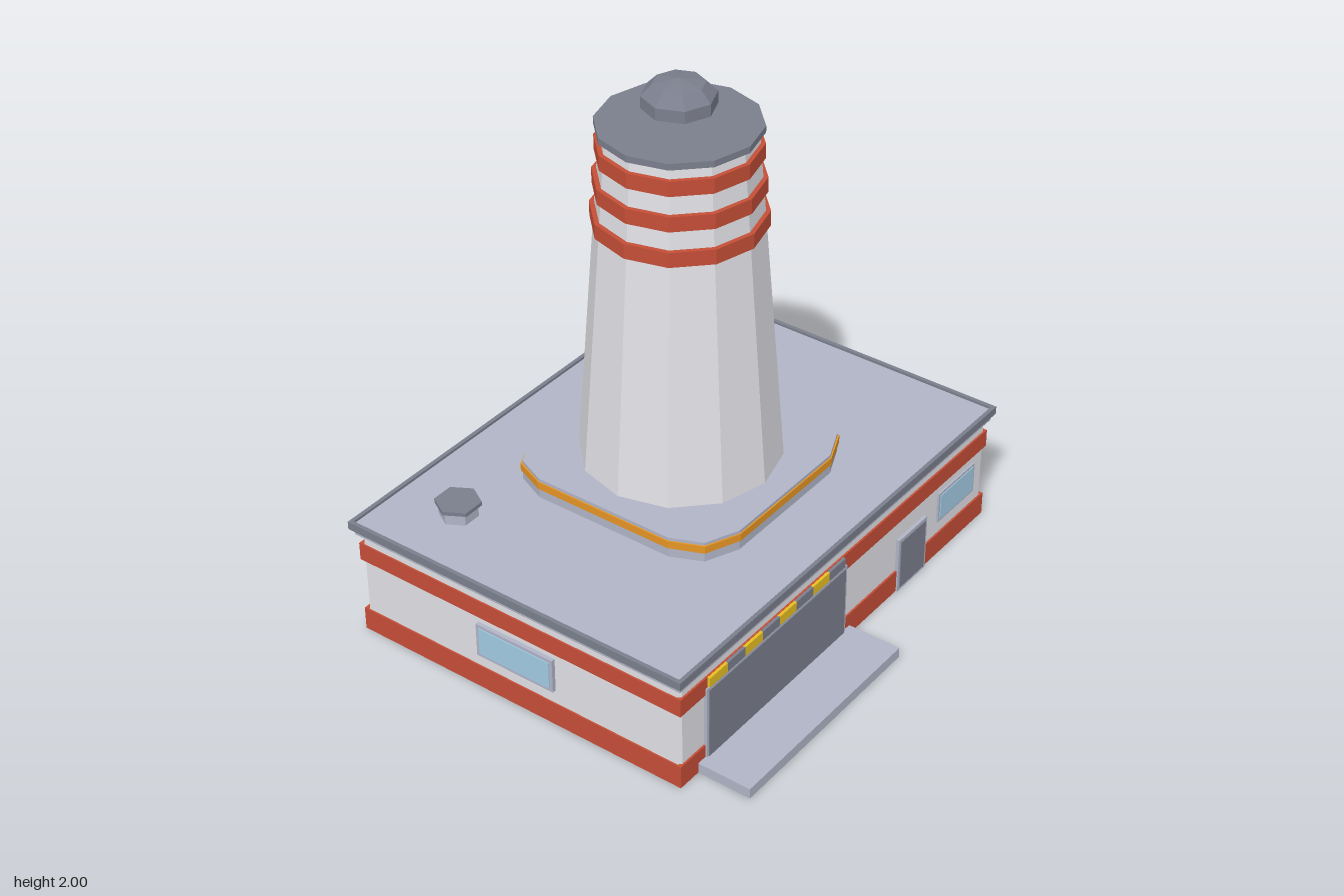
import * as THREE from 'three';

const mat = (name, color) => {
  const m = new THREE.MeshStandardMaterial({ color });
  m.name = name;
  return m;
};

export function createModel() {
  const model = new THREE.Group();
  model.name = 'towerBuilding';

  const wall = mat('wallWhite', 0xe1e0e5);
  const red = mat('bandRed', 0xc44e37);
  const slate = mat('lightSlate', 0xb0b4c6);
  const dark = mat('darkSlate', 0x7b7f8d);
  const orange = mat('trimOrange', 0xe59424);
  const yellow = mat('hazardYellow', 0xe6be22);
  const glass = mat('windowGlass', 0xa2cbe4);
  for (const m of [wall, red, slate, dark, orange, yellow, glass]) m.flatShading = true;

  const add = (name, geo, material, parent = model) => {
    const mesh = new THREE.Mesh(geo, material);
    mesh.name = name;
    parent.add(mesh);
    return mesh;
  };
  // Box given by its minimum and maximum on each axis
  const box = (name, material, x0, x1, y0, y1, z0, z1, parent) => {
    const mesh = add(name, new THREE.BoxGeometry(x1 - x0, y1 - y0, z1 - z0), material, parent);
    mesh.position.set((x0 + x1) / 2, (y0 + y1) / 2, (z0 + z1) / 2);
    return mesh;
  };
  // Upright cylinder or cone section
  const drum = (name, material, rTop, rBottom, y0, y1, sides, x, z, turn = 0, parent) => {
    const geo = new THREE.CylinderGeometry(rTop, rBottom, y1 - y0, sides);
    geo.rotateY(turn);
    const mesh = add(name, geo, material, parent);
    mesh.position.set(x, (y0 + y1) / 2, z);
    return mesh;
  };
  // Plan outline (x, z) extruded upwards
  const slab = (name, material, shape, y0, y1, z) => {
    const geo = new THREE.ExtrudeGeometry(shape, { depth: y1 - y0, bevelEnabled: false });
    geo.rotateX(-Math.PI / 2);
    const mesh = add(name, geo, material);
    mesh.position.set(0, y0, z);
    return mesh;
  };
  // Symmetric outline from the corner points of one quadrant
  const outline = (corner) => {
    const back = [...corner].reverse();
    return new THREE.Shape([
      ...corner.map(([x, z]) => new THREE.Vector2(x, z)),
      ...back.map(([x, z]) => new THREE.Vector2(-x, z)),
      ...corner.map(([x, z]) => new THREE.Vector2(-x, -z)),
      ...back.map(([x, z]) => new THREE.Vector2(x, -z)),
    ]);
  };

  // Main block with slightly chamfered corners and two red bands
  slab('walls', wall, outline([[0.924, 0.672], [0.912, 0.684]]), 0.01, 0.42, -0.092);
  box('lowerBand', red, -0.93, 0.93, 0, 0.09, -0.784, 0.599);
  box('upperBand', red, -0.93, 0.93, 0.305, 0.375, -0.784, 0.599);

  // Roof slab with a thin raised rim
  box('roofEave', slate, -0.94, 0.94, 0.417, 0.443, -0.79, 0.605);
  box('roofDeck', slate, -0.943, 0.943, 0.441, 0.462, -0.793, 0.605);
  const rim = outline([[0.955, 0.711]]);
  rim.holes.push(new THREE.Path(outline([[0.94, 0.696]]).getPoints()));
  slab('roofRim', dark, rim, 0.441, 0.472, -0.094);

  // Tower plinth with an orange edge
  const tz = -0.096;
  const plinth = (s) => outline([[0.45 - s, 0.28], [0.4 - s, 0.4 - s], [0.27, 0.455 - s]]);
  slab('plinth', slate, plinth(0.005), 0.455, 0.541, tz);
  slab('plinthTrim', orange, plinth(0), 0.5, 0.529, tz);

  // Tapered tower, rings and cap
  drum('tower', wall, 0.264, 0.365, 0.5, 1.825, 12, 0, tz);
  [[1.467, 0.304], [1.595, 0.294], [1.721, 0.284]].forEach(([y, r]) =>
    drum('towerRing', red, r, r, y, y + 0.056, 12, 0, tz));
  drum('towerCap', dark, 0.284, 0.284, 1.818, 1.842, 12, 0, tz);

  // Faceted beacon hovering over the cap
  const profile = [[0, 1.868], [0.05, 1.871], [0.128, 1.9], [0.128, 1.944], [0.09, 1.983], [0, 2]]
    .map(([r, y]) => new THREE.Vector2(r, y));
  add('beacon', new THREE.LatheGeometry(profile, 8), dark).position.z = tz;

  // Roof vents
  for (const s of [-1, 1]) {
    const vent = new THREE.Group();
    vent.name = 'roofVent';
    model.add(vent);
    drum('ventPipe', slate, 0.07, 0.07, 0.455, 0.51, 6, s * 0.687, -0.536, Math.PI / 6, vent);
    drum('ventCap', dark, 0.083, 0.083, 0.508, 0.523, 6, s * 0.687, -0.536, Math.PI / 6, vent);
  }

  // Framed panel facing +z, with a thin inset plate
  const panel = (name, w, h, edge, fillMat, depth) => {
    const g = new THREE.Group();
    g.name = name;
    box(name + 'Frame', slate, -w / 2, w / 2, -h / 2, h / 2, -0.02, depth, g);
    box(name + 'Panel', fillMat, -w / 2 + edge, w / 2 - edge, -h / 2 + edge, h / 2 - edge,
      depth - 0.002, depth + 0.003, g);
    model.add(g);
    return g;
  };

  // Loading bay, entrance door and front window
  panel('bayDoor', 0.81, 0.33, 0.011, dark, 0.006).position.set(-0.39, 0.167, 0.599);
  panel('entranceDoor', 0.182, 0.227, 0.012, dark, 0.006).position.set(0.44, 0.1135, 0.599);
  panel('frontWindow', 0.24, 0.126, 0.01, glass, 0.005).position.set(0.735, 0.208, 0.595);
  box('loadingRamp', slate, -0.835, 0.05, 0, 0.04, 0.58, 0.808);

  // Hazard strip above the bay
  for (let i = 0; i < 8; i++) {
    const x = -0.785 + i * 0.0977;
    box('hazardBlock', i % 2 ? dark : yellow, x, x + 0.0977, 0.337, 0.374, 0.58, 0.61);
  }

  // Side windows
  for (const s of [-1, 1]) {
    const w = panel('sideWindow', 0.33, 0.135, 0.013, glass, s < 0 ? 0.012 : 0.004);
    w.position.set(s * 0.927, 0.213, -0.092);
    w.rotation.y = s * Math.PI / 2;
  }

  return model;
}
